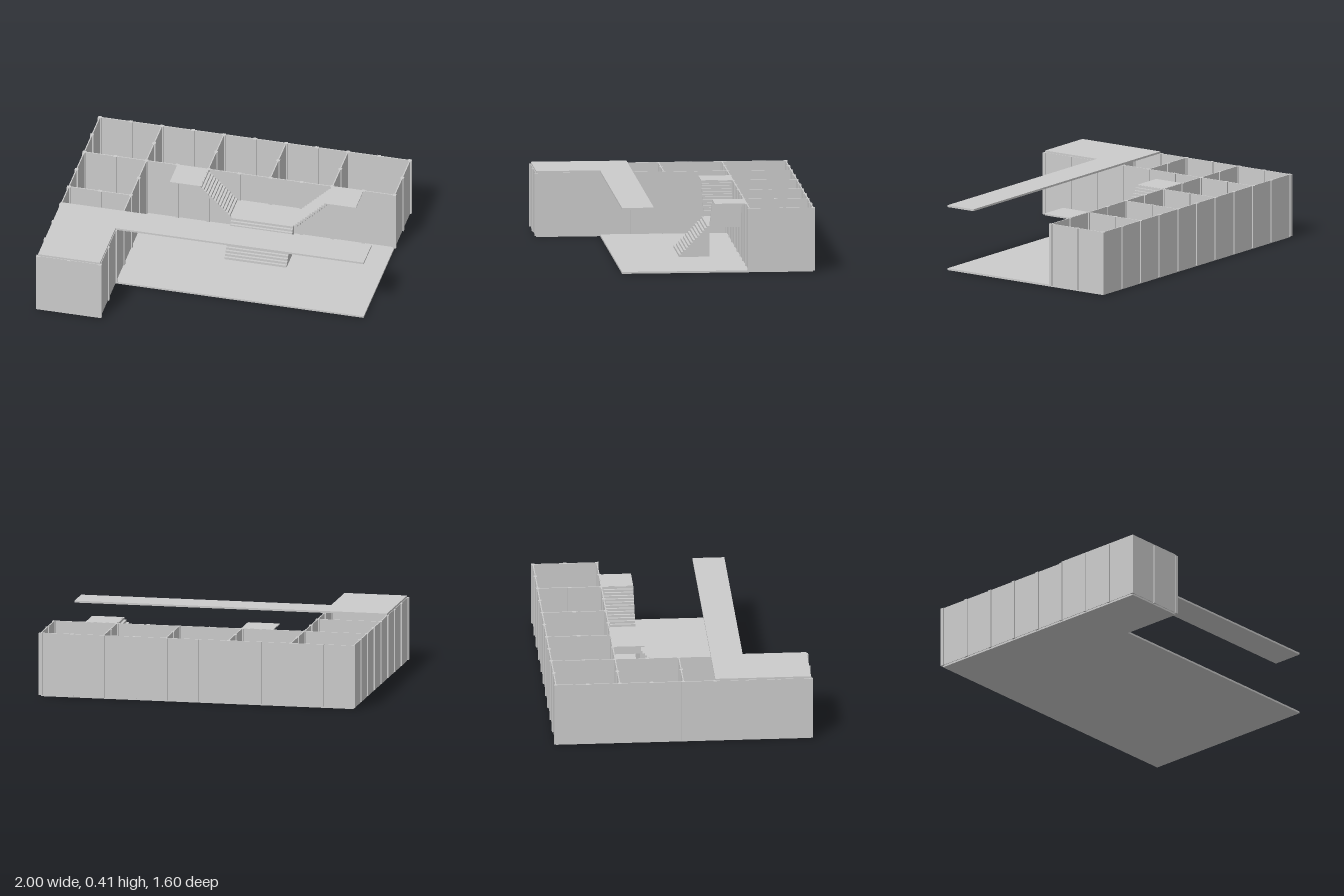
import * as THREE from 'three';

// Structural grid: 11 lines across (i), 9 lines deep (j)
const PITCH = 0.1978;
const gx = i => -0.989 + PITCH * i;
const gz = j => -0.791 + PITCH * j;

const FLOOR = 0.012, TOP = 0.4, MID = 0.205;
const COLUMN = 0.022, WALL = 0.007;

const material = new THREE.MeshStandardMaterial({ color: 0xcccccc, flatShading: true });

export function createModel() {
  const model = new THREE.Group();

  const add = (name, geometry) => {
    const mesh = new THREE.Mesh(geometry, material);
    mesh.name = name;
    model.add(mesh);
    return mesh;
  };

  // Box given by its limits on each axis
  const block = (name, x0, x1, y0, y1, z0, z1) =>
    add(name, new THREE.BoxGeometry(x1 - x0, y1 - y0, z1 - z0))
      .position.set((x0 + x1) / 2, (y0 + y1) / 2, (z0 + z1) / 2);

  // L-shaped slab: outline in (x, -z), laid flat
  const slab = (name, jBack, y, thickness) => {
    const outline = [[0, jBack], [0, 8], [2, 8], [2, 6], [10, 6], [10, jBack]];
    const shape = new THREE.Shape(outline.map(([i, j]) => new THREE.Vector2(gx(i), -gz(j))));
    const geometry = new THREE.ExtrudeGeometry(shape, { depth: thickness, bevelEnabled: false });
    add(name, geometry.rotateX(-Math.PI / 2)).position.y = y;
  };
  slab('floorSlab', 0, 0, FLOOR);
  slab('roofSlab', 5, TOP, 0.012);

  // Walls between grid points, with columns at the listed spacing
  const columns = new Set();
  const wall = (name, i0, j0, i1, j1) => {
    const h = WALL / 2;
    block(name, gx(i0) - h, gx(i1) + h, FLOOR, TOP, gz(j0) - h, gz(j1) + h);
    for (let i = i0; i <= i1; i++)
      for (let j = j0; j <= j1; j++) columns.add(`${i},${j}`);
  };
  wall('backWall', 0, 0, 10, 0);
  wall('corridorWall', 0, 2, 10, 2);
  wall('outerSideWall', 0, 0, 0, 8);
  wall('wingInnerWall', 2, 0, 2, 8);
  wall('wingFrontWall', 0, 8, 2, 8);
  for (const j of [4, 6]) wall('wingPartition', 0, j, 2, j);
  for (const i of [4, 6, 8, 10]) wall('roomPartition', i, 0, i, 2);

  const c = COLUMN / 2;
  for (const key of columns) {
    const [i, j] = key.split(',').map(Number);
    block('column', gx(i) - c, gx(i) + c, 0.008, TOP, gz(j) - c, gz(j) + c);
  }

  // Stair flight rising along local +x, solid below or with a stepped underside
  const flight = (name, run, height, width, solid) => {
    const n = 13, tread = run / n, rise = height / n;
    const points = [];
    for (let k = 0; k < n; k++)
      points.push([k * tread, (k + 1) * rise], [(k + 1) * tread, (k + 1) * rise]);
    if (solid) points.push([run, 0], [0, 0]);
    else for (let k = n - 1; k >= 0; k--)
      points.push([(k + 1) * tread, k * rise - 0.006], [k * tread, k * rise - 0.006]);
    const shape = new THREE.Shape(points.map(p => new THREE.Vector2(...p)));
    return add(name, new THREE.ExtrudeGeometry(shape, { depth: width, bevelEnabled: false }));
  };

  const width = PITCH - c;
  const lower = flight('lowerFlight', PITCH - 0.01, MID - FLOOR, 2 * PITCH, true);
  lower.rotation.y = Math.PI / 2;
  lower.position.set(gx(5), FLOOR, gz(3) + PITCH - 0.01);

  const rightUpper = flight('leftUpperFlight', PITCH, TOP - MID, width, false);
  rightUpper.position.set(gx(7) + 0.01, MID, gz(2) + c);

  const leftUpper = flight('rightUpperFlight', PITCH, TOP - MID, width, false);
  leftUpper.rotation.y = Math.PI;
  leftUpper.position.set(gx(5) - 0.01, MID, gz(3));

  // Landings
  block('middleLanding', gx(5) - 0.01, gx(7) + 0.01, MID - 0.006, MID, gz(2), gz(3));
  for (const i of [3, 8])
    block('upperLanding', gx(i), gx(i + 1), TOP - 0.005, TOP + 0.001, gz(2), gz(3));

  return model;
}
